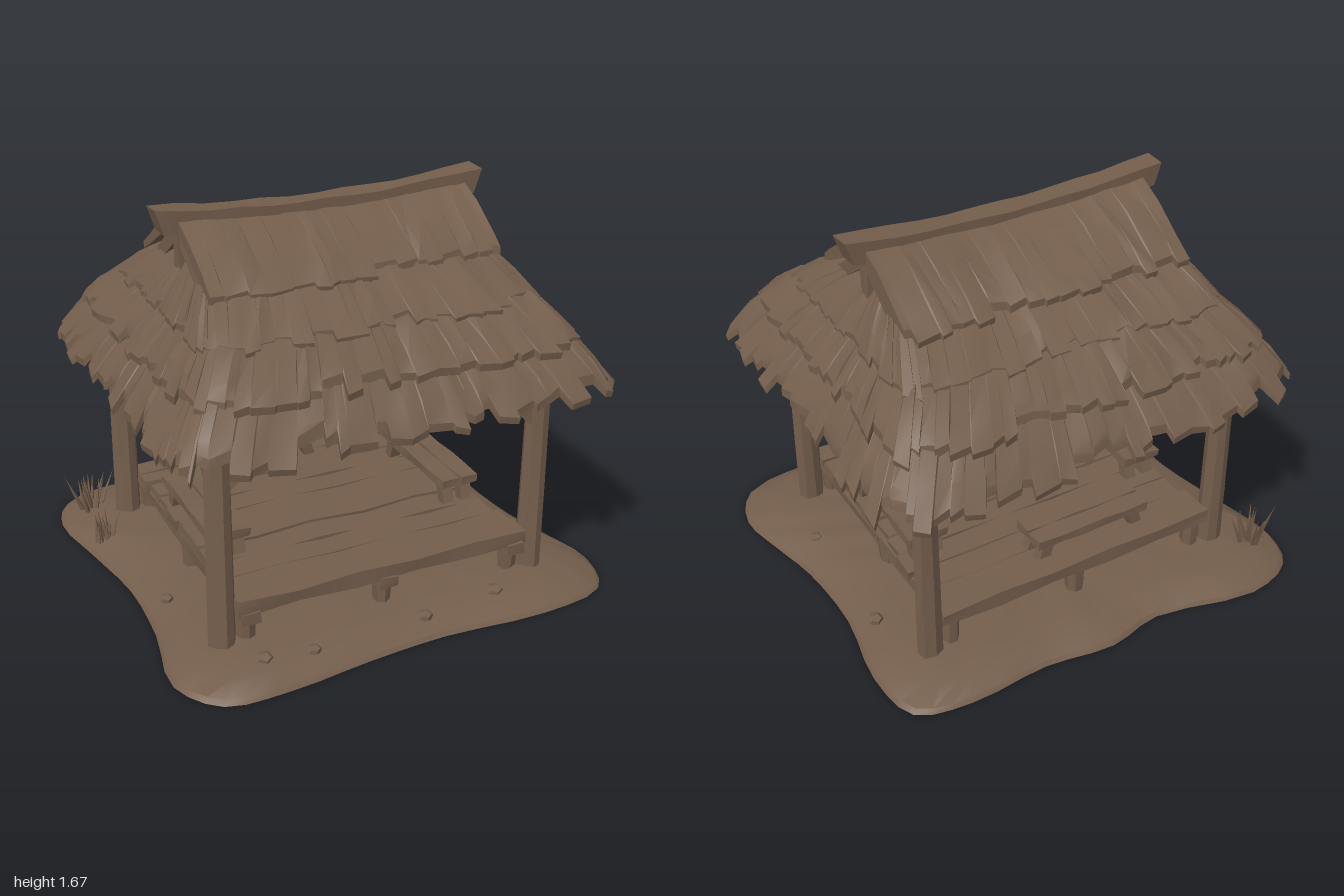
import * as THREE from 'three';
import { toCreasedNormals } from 'three/addons/utils/BufferGeometryUtils.js';

const wood = new THREE.MeshStandardMaterial({ color: 0x745e4c, side: THREE.DoubleSide });
wood.name = 'weathered brown';

let seed = 7;
const rnd = () => (seed = (seed * 16807) % 2147483647) / 2147483647;
const vary = (a) => (rnd() - 0.5) * 2 * a;
const V = (x, y, z) => new THREE.Vector3(x, y, z);

export function createModel() {
  const model = new THREE.Group();
  model.name = 'thatchedPavilion';

  const add = (name, geo, x = 0, y = 0, z = 0, parent = model) => {
    const mesh = new THREE.Mesh(toCreasedNormals(geo, 0.5), wood);
    mesh.name = name;
    mesh.position.set(x, y, z);
    parent.add(mesh);
    return mesh;
  };

  // Shift vertices irregularly, keeping coincident corners together
  const roughen = (geo, a) => {
    const p = geo.attributes.position;
    const s = rnd() * 10;
    const h = (x, y, z, k) => Math.sin(x * 37.1 + y * 51.7 + z * 43.3 + k + s) * a;
    for (let i = 0; i < p.count; i++) {
      const [x, y, z] = [p.getX(i), p.getY(i), p.getZ(i)];
      p.setXYZ(i, x + h(x, y, z, 0), y + h(x, y, z, 2), z + h(x, y, z, 4));
    }
    return geo;
  };

  // Box with rough hewn edges, centred at x, y, z
  const plank = (name, w, h, d, x, y, z, rough = 0.006) =>
    add(name, roughen(new THREE.BoxGeometry(w, h, d, w > 0.3 ? 5 : 1, 1, d > 0.3 ? 5 : 1), rough), x, y, z);

  // Square timber between two points
  const strut = (name, a, b, w) => {
    const m = add(name, roughen(new THREE.BoxGeometry(w, w, a.distanceTo(b)), 0.004));
    m.position.copy(a).lerp(b, 0.5);
    m.lookAt(b);
    return m;
  };

  // Surface through columns of points, each column a closed cross-section
  const loft = (cols, closed) => {
    const n = cols[0].length, pos = [], idx = [];
    cols.forEach((c) => c.forEach((v) => pos.push(v.x, v.y, v.z)));
    const last = closed ? cols.length : cols.length - 1;
    for (let i = 0; i < last; i++) for (let j = 0; j < n; j++) {
      const a = i * n + j, b = i * n + (j + 1) % n;
      const k = ((i + 1) % cols.length) * n;
      const c = k + j, d = k + (j + 1) % n;
      idx.push(a, b, c, c, b, d);
    }
    if (!closed) for (let j = 1; j < n - 1; j++) {
      const e = (cols.length - 1) * n;
      idx.push(0, j + 1, j, e, e + j, e + j + 1);
    }
    const g = new THREE.BufferGeometry();
    g.setAttribute('position', new THREE.Float32BufferAttribute(pos, 3));
    g.setIndex(idx);
    return g;
  };

  // Ragged thatch: at(u, v) gives a surface point, v = 0 at the top, 1 at the eave
  const thatch = (name, at, u0, u1, tuft, thick, ragged, closed) => {
    const cols = [];
    const column = (u, e) => {
      const lift = (v, d) => at(u, v).add(V(0, d, 0));
      cols.push([lift(0, 0), lift(0.4, vary(0.008)), lift(0.8, vary(0.01)), lift(1 + e, 0),
        lift(1 + e * 0.8, -thick * 0.6), lift(0.8, -thick), lift(0, -thick)]);
    };
    for (let u = u0; u < u1 - 0.01;) {
      const w = Math.min(tuft * (0.5 + rnd()), u1 - u), e = vary(ragged);
      column(u + 0.003, e);
      column(u + w - 0.003, e + vary(ragged * 0.5));
      u += w;
    }
    return add(name, loft(cols, closed));
  };

  // Ground mound with a wavy outline
  const outline = new THREE.CatmullRomCurve3([
    [-1, -0.66], [-0.93, -0.84], [-0.7, -0.92], [-0.25, -0.83], [0, -0.88], [0.3, -0.84], [0.65, -0.86],
    [0.88, -0.8], [0.93, -0.55], [0.88, -0.2], [0.9, 0.15], [0.96, 0.4], [1, 0.62], [0.91, 0.82], [0.6, 0.88],
    [0.15, 0.85], [-0.2, 0.87], [-0.55, 0.91], [-0.82, 0.89], [-0.95, 0.7], [-0.9, 0.35], [-0.89, 0], [-0.95, -0.35],
  ].map(([x, z]) => V(x, 0, z)), true).getPoints(69).slice(0, -1);
  add('ground', loft(outline.map((p) => [[0, 0], [1, 0], [0.985, 0.018], [0.9, 0.05], [0.78, 0.07], [0.5, 0.08], [0, 0.08]]
    .map(([s, y]) => V(p.x * s, y + (s > 0 && s < 0.95 ? vary(0.006) : 0), p.z * s))), true));
  [[-0.4, 0.78], [0.1, 0.76], [0.45, 0.72], [0.8, 0.3], [0.8, -0.3], [-0.6, 0.75], [-0.8, 0.2]].forEach(([x, z], i) =>
    add('stone', new THREE.DodecahedronGeometry(0.03 + 0.005 * (i % 3)), x, 0.06, z).scale.y = 0.6);

  // Corner posts and their braces
  const px = [-0.71, 0.69], pz = [-0.575, 0.595];
  for (const x of px) for (const z of pz) {
    const post = new THREE.CylinderGeometry(0.048, 0.055, 0.95, 8, 4);
    add('post', roughen(post, 0.005), x, 0.505, z);
    const sx = -Math.sign(x), sz = -Math.sign(z);
    strut('brace', V(x + sx * 0.02, 0.76, z), V(x + sx * 0.25, 0.97, z), 0.055);
    strut('brace', V(x, 0.76, z + sz * 0.02), V(x, 0.97, z + sz * 0.25), 0.055);
  }

  // Top beams and ceiling
  for (const z of pz) plank('longBeam', 1.64, 0.06, 0.09, -0.01, 0.975, z, 0.004);
  for (const x of px) plank('crossBeam', 0.09, 0.06, 1.35, x, 0.978, 0, 0.004);
  plank('ceiling', 1.64, 0.03, 1.4, 0, 1.0, 0, 0);

  // Raised floor: boards, joists, edge beams and stumps
  for (let i = 0; i < 9; i++)
    plank('floorBoard', 1.27 + vary(0.03), 0.045, 0.118, -0.01 + vary(0.01), 0.225 + vary(0.004), -0.5 + i * 0.125);
  for (const z of [-0.57, 0.6]) plank('edgeBeam', 1.3, 0.06, 0.1, -0.01, 0.23, z);
  for (const x of [-0.61, -0.01, 0.59]) {
    plank('joist', 0.08, 0.05, 1.24, x, 0.185, 0.04, 0.004);
    for (const z of [-0.56, 0, 0.59])
      add('stump', roughen(new THREE.CylinderGeometry(0.045, 0.037, 0.16, 7), 0.004), x, 0.13, z);
  }

  // Benches: two planks on splayed legs
  const bench = (x, z, length, turn) => {
    const g = new THREE.Group();
    g.name = 'bench';
    for (const s of [-1, 1]) {
      const board = roughen(new THREE.BoxGeometry(length, 0.038, 0.084, 5, 1, 1), 0.004);
      add('benchBoard', board, 0, 0.35, s * 0.046, g);
      for (const t of [-1, 1]) {
        const leg = new THREE.BoxGeometry(0.05, 0.1, 0.05);
        add('benchLeg', leg, s * (length / 2 - 0.05), 0.29, t * 0.045, g).rotation.z = s * 0.3;
      }
    }
    g.position.set(x, 0, z);
    g.rotation.y = turn;
    model.add(g);
  };
  bench(-0.11, -0.46, 0.54, 0);
  bench(-0.55, 0.02, 0.57, Math.PI / 2);
  bench(0.52, 0.02, 0.57, Math.PI / 2);

  // Three hipped tiers of thatch
  const tier = (name, [ox, oz, oy], [ix, iz, iy], bulge, ragged) => thatch(name, (u, v) => {
    const side = Math.floor(u / 2) % 4, t = (u % 2) - 1;
    const [sx, sz] = [[t, 1], [1, -t], [-t, -1], [-1, t]][side];
    const round = 1 - 0.07 * Math.pow(Math.abs(sx * sz), 8) * v;
    return V(sx * (ix + (ox - ix) * v) * round, iy + (oy - iy) * v + bulge * Math.sin(Math.PI * Math.min(v, 1)),
      sz * (iz + (oz - iz) * v) * round + 0.01);
  }, 0, 8, 0.085, 0.055, ragged, true);
  tier('lowerThatch', [0.935, 0.85, 0.965], [0.68, 0.56, 1.22], 0.045, 0.13);
  tier('middleThatch', [0.835, 0.735, 1.135], [0.6, 0.42, 1.33], 0.03, 0.1);
  tier('upperThatch', [0.72, 0.57, 1.275], [0.5, 0.05, 1.53], 0.02, 0.06);

  // Gabled cap over the ridge
  const sag = (x) => 0.04 * (x / 0.7) ** 2;
  for (const s of [-1, 1])
    thatch('capThatch', (u, v) => V(u, 1.595 + sag(u) * (1 - v) - 0.185 * v + 0.02 * Math.sin(Math.PI * Math.min(v, 1)),
      s * (0.02 + 0.35 * v)), -0.63, 0.63, 0.07, 0.05, 0.08, false);

  // Sagging ridge pole with undercut ends
  const ridge = new THREE.BoxGeometry(1.43, 0.1, 0.1, 12, 1, 1);
  const rp = ridge.attributes.position;
  for (let i = 0; i < rp.count; i++) {
    const x = rp.getX(i), y = rp.getY(i);
    rp.setXYZ(i, x * (y < 0 ? 0.95 : 1), y + sag(x), rp.getZ(i));
  }
  add('ridgePole', roughen(ridge, 0.004), -0.005, 1.57, 0.005);

  // Gable end timbers
  for (const x of [-0.59, 0.59]) {
    for (const s of [-1, 1]) strut('gableBoard', V(x, 1.56, 0), V(x, 1.39, s * 0.24), 0.05);
    strut('gablePost', V(x, 1.57, 0), V(x, 1.36, 0), 0.06);
  }

  // Hanging lantern
  const lantern = new THREE.Group();
  lantern.name = 'lantern';
  const turned = (name, top, bottom, h, y, sides = 6) =>
    add(name, new THREE.CylinderGeometry(top, bottom, h, sides), 0, y, 0, lantern);
  turned('lanternHook', 0.006, 0.006, 0.16, 0.9, 5);
  turned('lanternCap', 0.022, 0.058, 0.05, 0.795);
  turned('lanternKnob', 0.022, 0.022, 0.02, 0.825);
  turned('lanternBase', 0.058, 0.05, 0.022, 0.658);
  turned('lanternFoot', 0.05, 0.015, 0.025, 0.635);
  turned('candle', 0.016, 0.018, 0.06, 0.695);
  for (let i = 0; i < 6; i++) {
    const a = i * Math.PI / 3, c = Math.sin(a), d = Math.cos(a);
    lantern.add(strut('lanternBar', V(c * 0.04, 0.775, d * 0.04), V(c * 0.05, 0.665, d * 0.05), 0.013));
  }
  lantern.position.set(0.015, 0, 0.11);
  model.add(lantern);

  // Grass clumps beside the back corner
  [[-0.87, -0.4, 0.15], [-0.85, -0.68, 0.21]].forEach(([x, z, height]) => {
    for (let i = 0; i < 16; i++) {
      const h = height * (0.6 + 0.4 * rnd()), a = rnd() * Math.PI * 2, r = 0.045 * rnd();
      const blade = new THREE.ConeGeometry(0.014, h, 3);
      blade.translate(0, h / 2, 0);
      const m = add('grassBlade', blade, x + Math.cos(a) * r, 0.04, z + Math.sin(a) * r);
      m.rotation.set(Math.sin(a) * 0.4 * rnd(), 0, -Math.cos(a) * 0.4 * rnd());
    }
  });

  return model;
}
